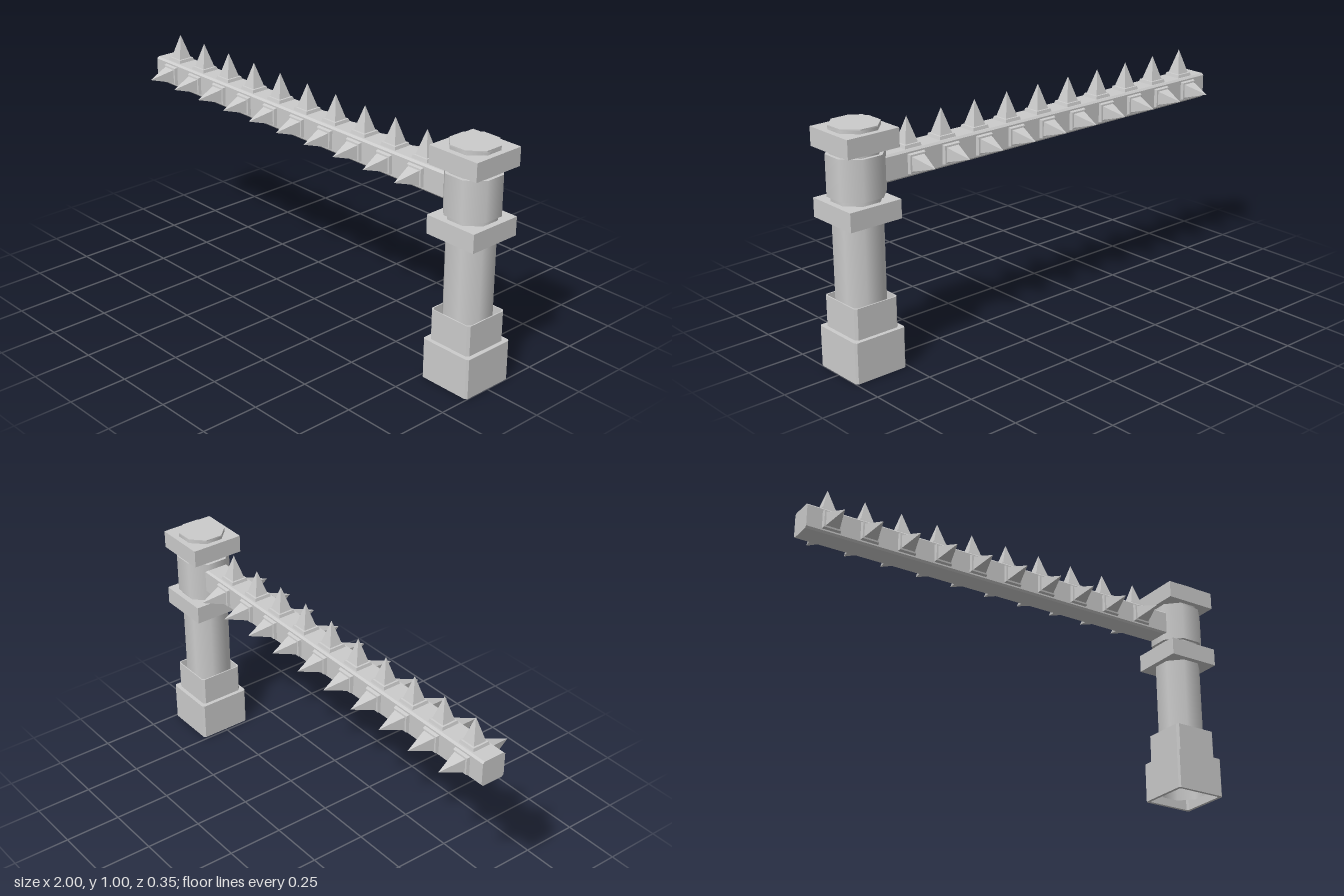
import * as THREE from 'three';

const POST_X = 0.88;
const flat = new THREE.MeshStandardMaterial({ color: 0xcccccc, flatShading: true });
const smooth = new THREE.MeshStandardMaterial({ color: 0xcccccc });
const open = new THREE.MeshStandardMaterial({ color: 0xcccccc, side: THREE.DoubleSide });

// Rectangle outline with cut corners
function cutRect(hx, hy, c) {
  return [
    [hx, -hy + c], [hx, hy - c], [hx - c, hy], [-hx + c, hy],
    [-hx, hy - c], [-hx, -hy + c], [-hx + c, -hy], [hx - c, -hy],
  ].map(([x, y]) => new THREE.Vector2(x, y));
}

function add(parent, name, geometry, material) {
  const mesh = new THREE.Mesh(geometry, material);
  mesh.name = name;
  parent.add(mesh);
  return mesh;
}

// Square block of the post between two heights, optionally hollow
function block(post, name, y0, y1, half, cut, wall = 0) {
  const shape = new THREE.Shape(cutRect(half, half, cut));
  if (wall) shape.holes.push(new THREE.Path(cutRect(half - wall, half - wall, cut).reverse()));
  const g = new THREE.ExtrudeGeometry(shape, { depth: y1 - y0, bevelEnabled: false });
  g.rotateX(-Math.PI / 2).translate(0, y0, 0);
  return add(post, name, g, flat);
}

// Eight-sided drum of the post, flat sides facing the axes
function drum(post, name, y0, y1, apothem, openEnded, material) {
  const r = apothem / Math.cos(Math.PI / 8);
  const g = new THREE.CylinderGeometry(r, r, y1 - y0, 8, 1, openEnded);
  g.rotateY(Math.PI / 8).translate(0, (y0 + y1) / 2, 0);
  return add(post, name, g, material);
}

export function createModel() {
  const model = new THREE.Group();

  // Post: hollow foot, octagonal shaft, two collars and the swivel drum
  const post = new THREE.Group();
  post.name = 'post';
  post.position.x = POST_X;
  model.add(post);
  block(post, 'footWall', 0, 0.165, 0.119, 0.008, 0.014);
  block(post, 'footTop', 0.16, 0.172, 0.119, 0.008, 0.026);
  block(post, 'footStep', 0.17, 0.302, 0.101, 0.01, 0.005);
  drum(post, 'shaft', 0.03, 0.995, 0.094, true, open);
  drum(post, 'shaftTop', 0.98, 1.0, 0.094, false, flat);
  block(post, 'lowerCollar', 0.622, 0.7, 0.119, 0.001);
  drum(post, 'swivel', 0.72, 0.888, 0.108, false, smooth);
  block(post, 'upperCollar', 0.905, 0.982, 0.119, 0.001);

  // Arm: long beam with cut edges and chamfered free end
  const arm = new THREE.Group();
  arm.name = 'arm';
  arm.position.y = 0.804;
  model.add(arm);
  const beamShape = new THREE.Shape(cutRect(0.055, 0.055, 0.008));
  const beamGeo = new THREE.ExtrudeGeometry(beamShape, { depth: 1.8, bevelEnabled: false });
  beamGeo.rotateY(Math.PI / 2).translate(-1, 0, 0);
  add(arm, 'beam', beamGeo, flat);

  // Spikes: four-sided points on tapered plinths, in rows on front, top and back
  const corner = Math.SQRT2;
  const profile = [[0.043, 0.045], [0.037, 0.068], [0.03, 0.069], [0, 0.173]]
    .map(([r, y]) => new THREE.Vector2(r * corner, y));
  const spikeGeo = new THREE.LatheGeometry(profile, 4).rotateY(Math.PI / 4);
  const rows = { frontSpike: Math.PI / 2, topSpike: 0, backSpike: -Math.PI / 2 };
  for (const [name, angle] of Object.entries(rows)) {
    for (let i = 0; i < 10; i++) {
      const spike = add(arm, name, spikeGeo, flat);
      spike.position.x = -0.892 + i * 0.17;
      spike.rotation.x = angle;
    }
  }
  return model;
}
